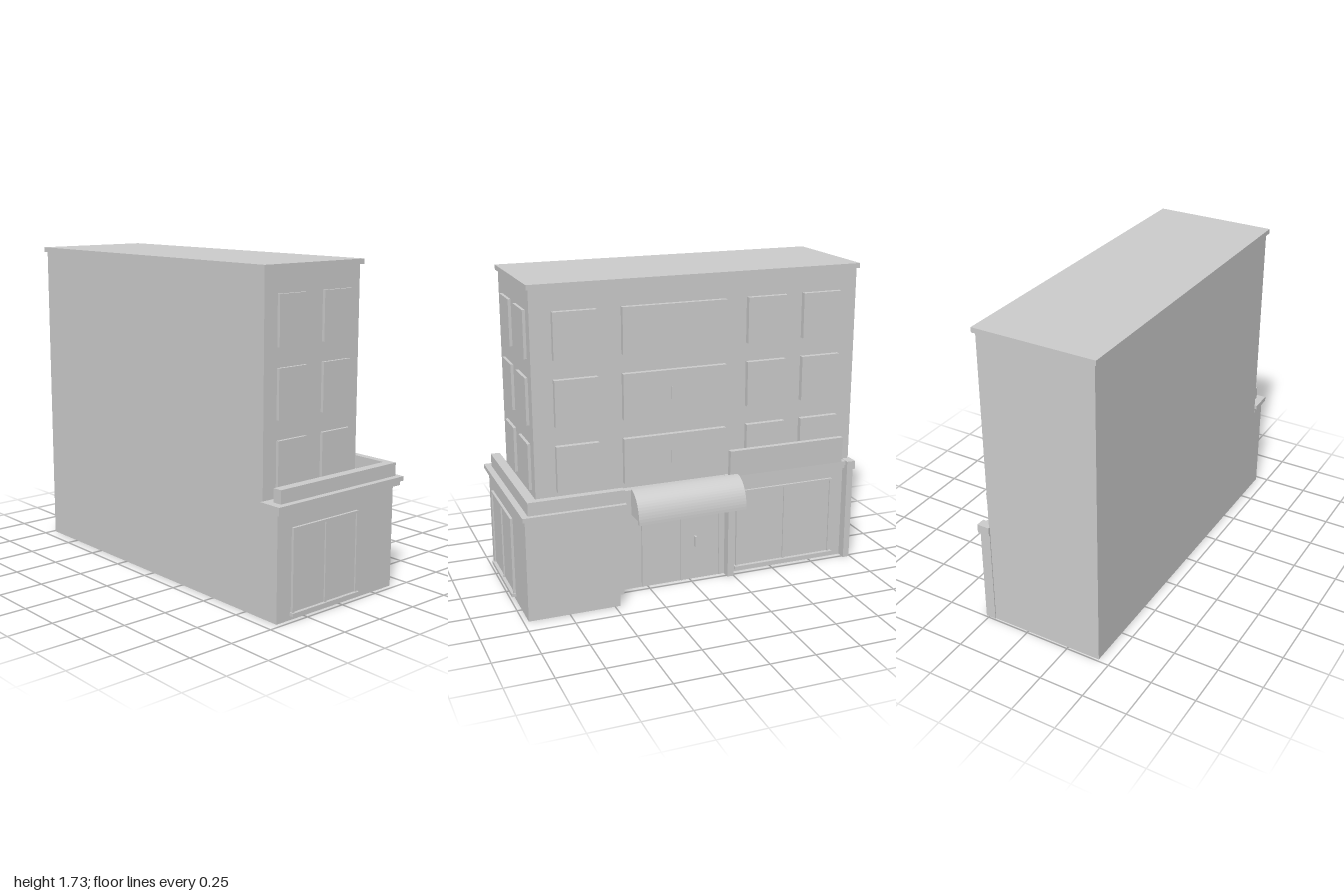
import * as THREE from 'three';

const grey = new THREE.MeshStandardMaterial({ color: 0xcccccc });

export function createModel() {
  const model = new THREE.Group();
  model.name = 'cornerBuilding';

  // Box given by its extents on each axis
  function block(name, x0, x1, y0, y1, z0, z1, parent = model) {
    const mesh = new THREE.Mesh(new THREE.BoxGeometry(x1 - x0, y1 - y0, z1 - z0), grey);
    mesh.position.set((x0 + x1) / 2, (y0 + y1) / 2, (z0 + z1) / 2);
    mesh.name = name;
    parent.add(mesh);
    return mesh;
  }

  // Tower and roof slab
  block('tower', -0.987, 0.868, 0, 1.705, -0.215, 0.436);
  block('roofSlab', -0.998, 0.881, 1.703, 1.73, -0.231, 0.449);

  // Ground floor wing: strip along the side and projecting corner
  block('sideWing', 0.86, 0.973, 0, 0.57, -0.215, 0.436);
  block('cornerWing', 0.47, 0.973, 0, 0.57, -0.395, -0.2);

  // Two-step cornice around the wing
  for (const [y0, y1, out] of [[0.548, 0.572, 0], [0.572, 0.596, 0.012]]) {
    block('sideCornice', 0.866, 0.985 + out, y0, y1, -0.437 - out, 0.438 + out);
    block('cornerCornice', 0.456 - out, 0.9, y0, y1, -0.437 - out, -0.2);
  }

  // Parapet on the wing
  block('sideParapet', 0.912, 0.963, 0.59, 0.667, -0.425, 0.406);
  block('backParapet', 0.447, 0.912, 0.59, 0.667, -0.425, -0.385);

  // Upper windows: three floors, four on the long face and two on the short face
  for (const y of [0.63, 0.984, 1.337]) {
    for (const [x0, x1] of [[0.52, 0.755], [-0.2, 0.385], [-0.555, -0.325], [-0.885, -0.655]])
      block('backWindow', x0, x1, y, y + 0.25, -0.245, -0.21);
    block('windowLatch', 0.112, 0.118, y + 0.09, y + 0.16, -0.248, -0.24);
    for (const [z0, z1] of [[0.16, 0.35], [-0.147, 0.047]])
      block('sideWindow', 0.86, 0.884, y, y + 0.253, z0, z1);
  }

  // Pilasters with caps, and the cornice between them
  for (const [x0, x1] of [[-0.992, -0.955], [-0.25, -0.212], [0.405, 0.44]]) {
    block('pilaster', x0, x1, 0, 0.56, -0.268, -0.21);
    block('pilasterCap', x0 - 0.007, x1 + 0.007, 0.55, 0.598, -0.28, -0.21);
  }
  block('shopCornice', -0.99, 0.46, 0.572, 0.596, -0.26, -0.21);
  block('shopCorniceLower', -0.985, 0.46, 0.55, 0.572, -0.248, -0.21);

  // Framed glazing, built in its own plane with the outside toward +z
  function glazing(name, width, y0, y1) {
    const g = new THREE.Group();
    g.name = name;
    const w = width / 2, t = 0.012;
    block('glass', -w, w, y0, y1, -0.01, 0.006, g);
    for (const x of [-w, -t / 2, w - t])
      block('frameUpright', x, x + t, y0, y1, -0.01, 0.014, g);
    block('frameHead', -w, w, y1 - t, y1, -0.01, 0.014, g);
    model.add(g);
    return g;
  }

  // Side shop window
  const sideShop = glazing('sideShopWindow', 0.46, 0.03, 0.472);
  sideShop.rotation.y = Math.PI / 2;
  sideShop.position.set(0.973, 0, 0.11);
  block('sill', -0.237, 0.237, 0.022, 0.04, -0.01, 0.024, sideShop);

  // Shop window beside the entrance
  const backShop = glazing('backShopWindow', 0.6, 0.03, 0.49);
  backShop.rotation.y = Math.PI;
  backShop.position.set(-0.58, 0, -0.215);
  block('sill', -0.31, 0.31, 0.022, 0.04, -0.01, 0.028, backShop);

  // Entrance with a door and its handle
  const entrance = glazing('entrance', 0.47, 0.005, 0.49);
  entrance.rotation.y = Math.PI;
  entrance.position.set(0.05, 0, -0.215);
  block('doorHandle', 0.075, 0.088, 0.2, 0.26, 0, 0.024, entrance);

  // Sign board above the cornice, leaning slightly outward
  const sign = block('signBoard', -0.915, -0.218, 0.6, 0.748, -0.272, -0.243);
  sign.rotation.x = -0.04;

  // Rounded awning: quarter-ellipse section swept along x
  const section = new THREE.Shape();
  section.moveTo(0, 0.02);
  section.lineTo(0, 0.165);
  for (let i = 1; i <= 16; i++) {
    const a = (i / 16) * Math.PI / 2;
    section.lineTo(0.12 * Math.sin(a), 0.165 * Math.cos(a));
  }
  section.lineTo(0.1, 0);
  section.lineTo(0.1, 0.02);
  const length = 0.622;
  const awningGeo = new THREE.ExtrudeGeometry(section, { depth: length, bevelEnabled: false });
  awningGeo.translate(0, 0, -length / 2);
  const awning = new THREE.Mesh(awningGeo, grey);
  awning.name = 'awning';
  // Section x points to -z, sweep runs along x
  awning.rotation.y = Math.PI / 2 + 0.02;
  awning.position.set(0.067, 0.463, -0.316);
  model.add(awning);

  return model;
}
